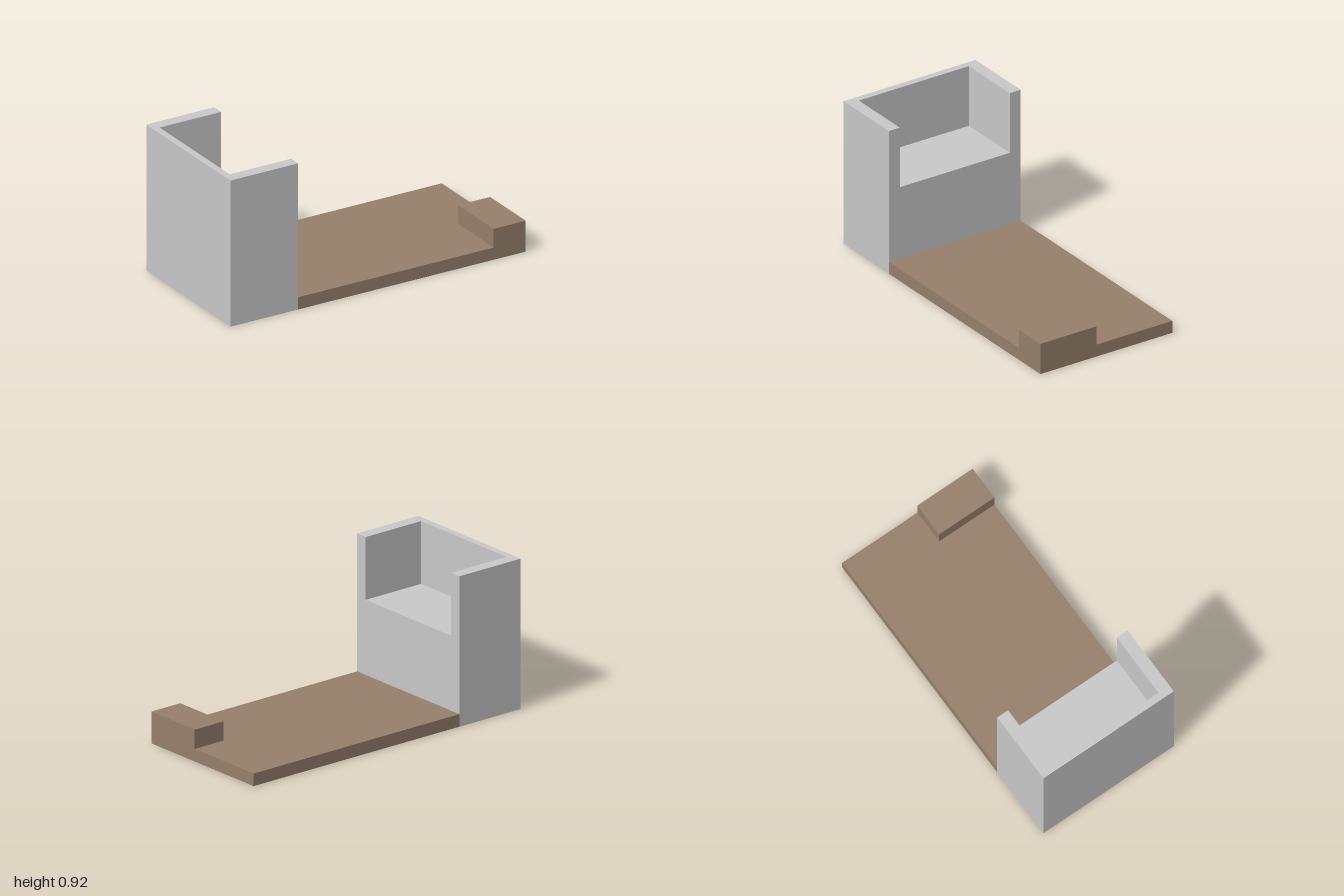
import * as THREE from 'three';

export function createModel() {
  const group = new THREE.Group();
  const grey = new THREE.MeshStandardMaterial({ color: 0xc9c9c9 });
  grey.name = 'light grey';
  const brown = new THREE.MeshStandardMaterial({ color: 0x96806b });
  brown.name = 'earth brown';

  // Extrude a side outline (z to the left, y up) along x
  function extrudeX(name, points, x0, x1, material) {
    const shape = new THREE.Shape(points.map(([z, y]) => new THREE.Vector2(-z, y)));
    const geometry = new THREE.ExtrudeGeometry(shape, { depth: x1 - x0, bevelEnabled: false });
    geometry.rotateY(Math.PI / 2).translate(x0, 0, 0);
    const mesh = new THREE.Mesh(geometry, material);
    mesh.name = name;
    group.add(mesh);
  }

  const W = 0.46, H = 0.922, FLOOR = 0.537, IN = 0.384;
  const LEFT = -0.998, WALL = -0.955, JOIN = -0.54, END = 0.998;

  // Tower: solid base, side walls around a terrace open toward the deck
  extrudeX('tower', [[W, 0], [W, H], [IN, H], [IN, FLOOR], [-IN, FLOOR], [-IN, H], [-W, H], [-W, 0]],
    WALL, JOIN, grey);
  // Full-height end wall
  extrudeX('towerEndWall', [[W, 0], [W, H], [-W, H], [-W, 0]], LEFT, WALL, grey);

  // Low deck, with a raised block on its front corner
  extrudeX('deck', [[W, 0], [W, 0.077], [-W, 0.077], [-W, 0]], JOIN, 0.782, brown);
  extrudeX('deckEndWithBlock', [[W, 0], [W, 0.195], [0.07, 0.195], [0.07, 0.077], [-W, 0.077], [-W, 0]],
    0.782, END, brown);

  // The whole building sits very slightly askew
  group.rotation.y = 0.0035;
  const model = new THREE.Group();
  model.name = 'building';
  model.add(group);
  return model;
}
